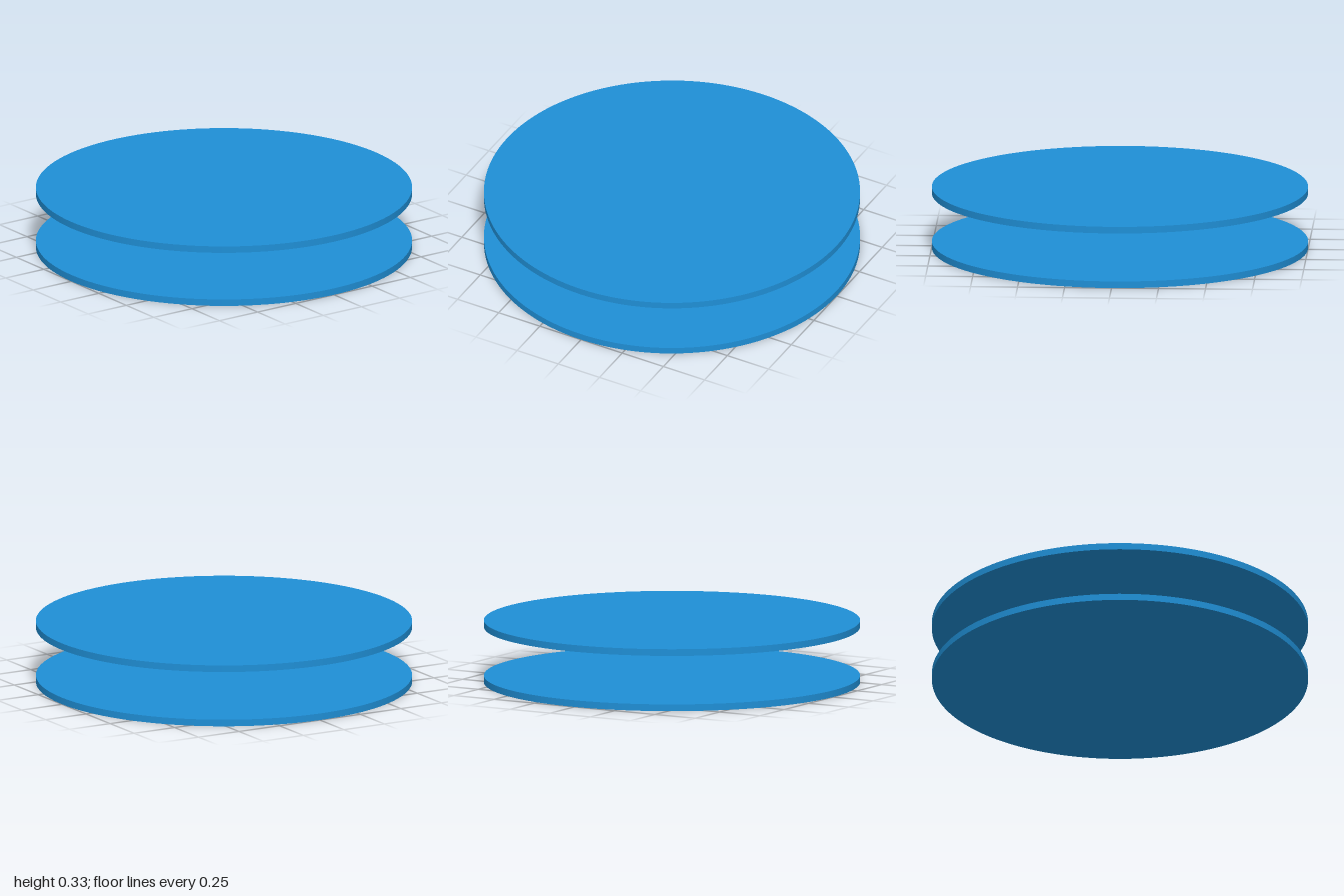
import * as THREE from 'three';

const RADIUS = 1;
const THICKNESS = 0.036;
const HEIGHT = 0.333;

export function createModel() {
  const model = new THREE.Group();
  model.name = 'discPair';

  const material = new THREE.MeshStandardMaterial({ color: 0x1f8fd6 });
  const geometry = new THREE.CylinderGeometry(RADIUS, RADIUS, THICKNESS, 128);

  // Two equal, separate round plates, one above the other
  const addDisc = (name, bottom) => {
    const disc = new THREE.Mesh(geometry, material);
    disc.name = name;
    disc.position.y = bottom + THICKNESS / 2;
    model.add(disc);
  };
  addDisc('lowerDisc', 0);
  addDisc('upperDisc', HEIGHT - THICKNESS);

  return model;
}
